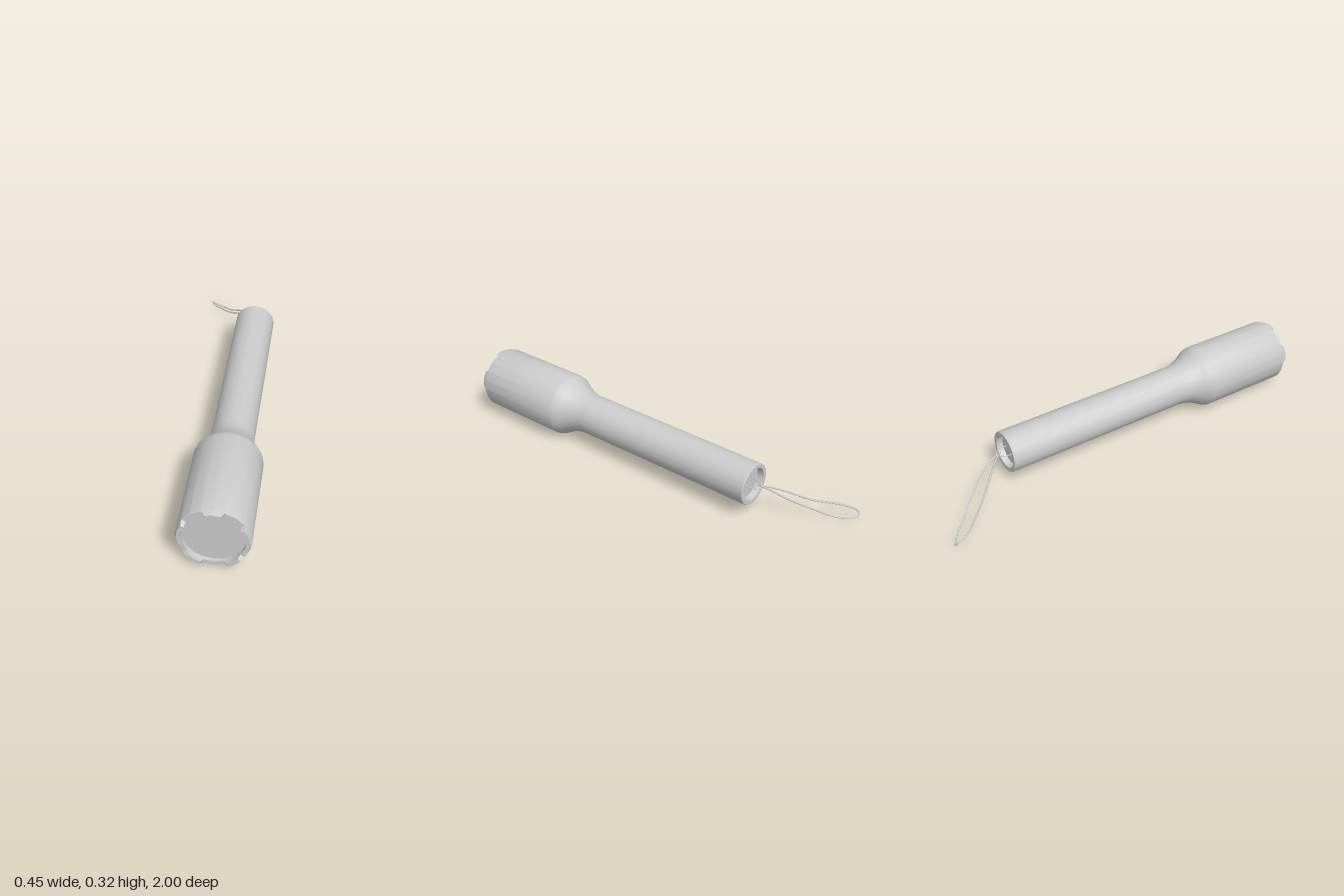
import * as THREE from 'three';
import { toCreasedNormals } from 'three/addons/utils/BufferGeometryUtils.js';

const SIDES = 20;
const AXIS = new THREE.Vector3(0.066, 0.16, 0);
const RIM_Z = 0.98;

const material = new THREE.MeshStandardMaterial({ color: 0xcccccc });

function part(name, geometry, parent) {
  const mesh = new THREE.Mesh(geometry, material);
  mesh.name = name;
  parent.add(mesh);
  return mesh;
}

// Turns a [radius, z] profile around the z axis
function turned(profile) {
  const points = profile.map(([r, z]) => new THREE.Vector2(r, z));
  const geometry = new THREE.LatheGeometry(points, SIDES).rotateX(Math.PI / 2);
  return toCreasedNormals(geometry, 0.5);
}

// One raised tooth of the front crown: arc with sloped ends and bevelled outer edge
function toothGeometry() {
  const stations = [[-18, 0], [-13, 1], [0, 1], [13, 1], [18, 0]];
  const half = Math.PI / SIDES;
  const loops = stations.map(([deg, h]) => {
    const a = THREE.MathUtils.degToRad(deg);
    const chord = Math.cos(half) / Math.cos(Math.abs(a) - half);
    const top = RIM_Z + (1 - RIM_Z) * h;
    const section = [[0.135, RIM_Z - 0.004], [0.135, top], [0.157 - 0.007 * h, top], [0.157, RIM_Z - 0.004]];
    return section.map(([r, z]) => [r * chord * Math.sin(a), r * chord * Math.cos(a), z]);
  });
  const positions = [];
  for (let i = 0; i < loops.length - 1; i++) {
    const [p, q] = [loops[i], loops[i + 1]];
    for (let k = 0; k < 3; k++) {
      positions.push(...p[k], ...q[k], ...p[k + 1], ...q[k], ...q[k + 1], ...p[k + 1]);
    }
  }
  const geometry = new THREE.BufferGeometry();
  geometry.setAttribute('position', new THREE.Float32BufferAttribute(positions, 3));
  return toCreasedNormals(geometry, 0.4);
}

// Switch plate: rounded strip with bevelled edges, facing down
function switchGeometry() {
  const w = 0.022, l = 0.08, r = 0.012;
  const shape = new THREE.Shape();
  shape.moveTo(-w + r, -l);
  shape.lineTo(w - r, -l);
  shape.quadraticCurveTo(w, -l, w, -l + r);
  shape.lineTo(w, l - r);
  shape.quadraticCurveTo(w, l, w - r, l);
  shape.lineTo(-w + r, l);
  shape.quadraticCurveTo(-w, l, -w, l - r);
  shape.lineTo(-w, -l + r);
  shape.quadraticCurveTo(-w, -l, -w + r, -l);
  return new THREE.ExtrudeGeometry(shape, {
    depth: 0.02, bevelThickness: 0.01, bevelSize: 0.013, bevelSegments: 1, curveSegments: 3,
  }).rotateX(Math.PI / 2);
}

export function createModel() {
  const model = new THREE.Group();
  model.name = 'flashlight';

  const torch = new THREE.Group();
  torch.name = 'torchBody';
  torch.position.copy(AXIS);
  model.add(torch);

  // Handle and head in one shell, with the hollow tail and the front rim
  part('bodyShell', turned([
    [0.076, -0.57], [0.08, -0.6], [0.098, -0.6], [0.1, -0.597],
    [0.1, 0.36], [0.103, 0.39], [0.11, 0.42], [0.122, 0.45], [0.138, 0.48], [0.152, 0.505],
    [0.157, 0.522], [0.157, RIM_Z - 0.004], [0.155, RIM_Z], [0.135, RIM_Z], [0.134, 0.963],
  ]), torch);
  part('tailCap', turned([[0, -0.57], [0.077, -0.57]]), torch);
  part('lens', turned([[0.135, 0.965], [0, 0.965]]), torch);

  // Five teeth around the front
  const crown = new THREE.Group();
  crown.name = 'crown';
  torch.add(crown);
  const tooth = toothGeometry();
  for (let i = 0; i < 5; i++) {
    part('tooth', tooth, crown).rotation.z = (i * Math.PI * 2) / 5;
  }

  // Switch under the handle
  part('switch', switchGeometry(), torch).position.set(0, -0.08, 0.166);

  // Strap eyelet, rising out of the tail recess
  const eyelet = new THREE.TorusGeometry(0.035, 0.0025, 6, 20, Math.PI).rotateX(-Math.PI / 2);
  part('eyelet', eyelet.scale(1, 1, 2), torch).position.z = -0.57;

  // Wrist strap: a closed loop hanging from the eyelet
  const path = [
    [0.062, 0.166, -0.625], [0.045, 0.161, -0.65], [0, 0.139, -0.7], [-0.1, 0.074, -0.81],
    [-0.155, 0.055, -0.872], [-0.2, 0.038, -0.927], [-0.219, 0.022, -0.985], [-0.21, 0.008, -0.996],
    [-0.156, 0.009, -0.963], [-0.1, 0.031, -0.9], [-0.066, 0.056, -0.862],
    [0.02, 0.122, -0.746], [0.052, 0.157, -0.67],
  ].map((p) => new THREE.Vector3(...p));
  part('wristStrap', new THREE.TubeGeometry(new THREE.CatmullRomCurve3(path, true), 80, 0.004, 6, true), model);

  return model;
}
